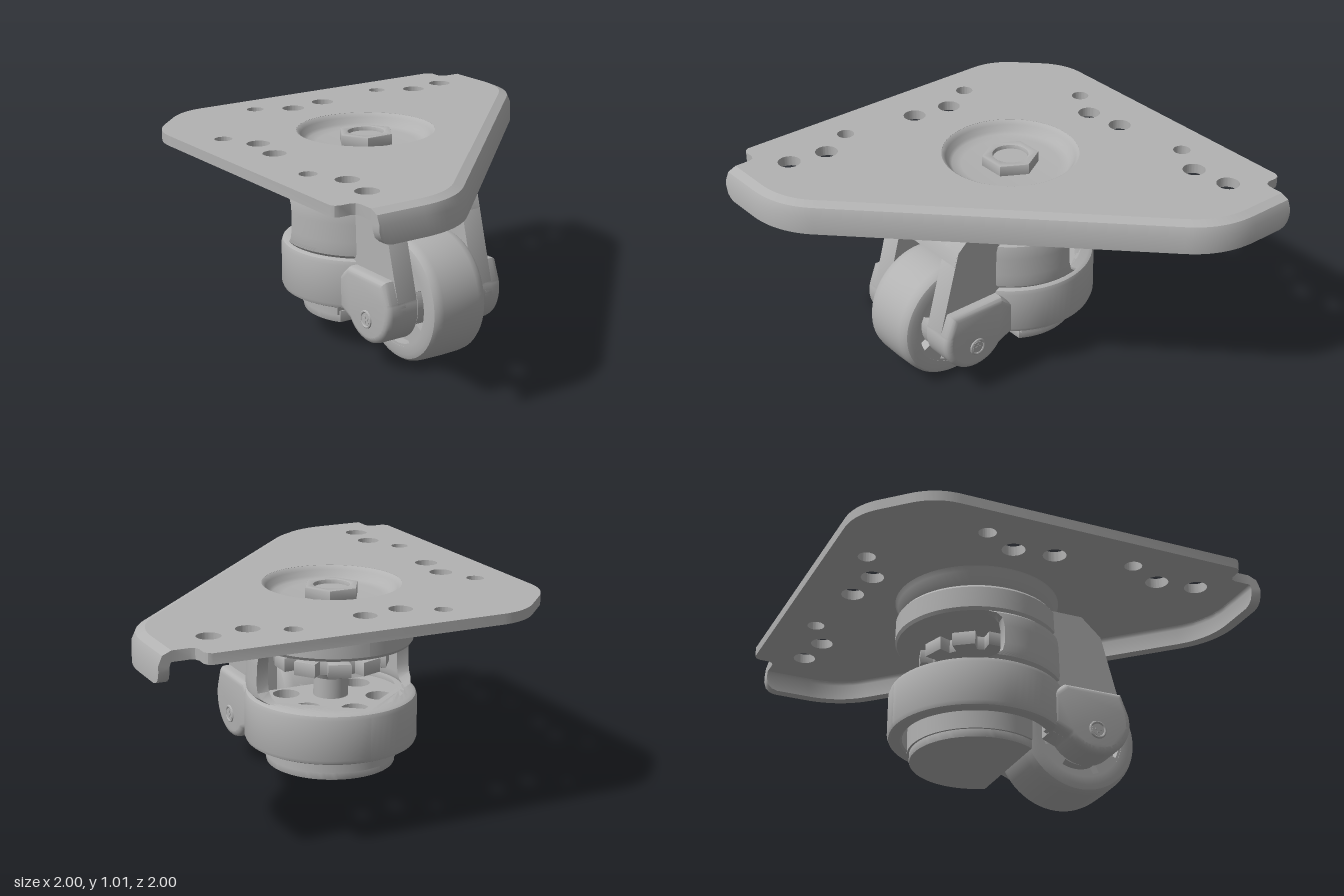
import * as THREE from 'three';
import { toCreasedNormals } from 'three/addons/utils/BufferGeometryUtils.js';

const steel = new THREE.MeshStandardMaterial({ color: 0xb2b2b2, side: THREE.DoubleSide });
steel.name = 'grey steel';
const V2 = (x, y) => new THREE.Vector2(x, y);

function add(parent, name, geo, x = 0, y = 0, z = 0) {
  const mesh = new THREE.Mesh(toCreasedNormals(geo, 0.6), steel);
  mesh.name = name;
  mesh.position.set(x, y, z);
  parent.add(mesh);
  return mesh;
}

// Skin over loops of points; point j faces point n-1-j across each end cap
function loft(loops) {
  const n = loops[0].length, index = [];
  const quad = (a, b, c, d) => index.push(a, b, c, a, c, d);
  for (let i = 0; i < loops.length - 1; i++) {
    for (let j = 0; j < n; j++) {
      const k = (j + 1) % n, p = i * n, q = p + n;
      quad(p + j, p + k, q + k, q + j);
    }
  }
  const e = (loops.length - 1) * n;
  for (let j = 0; j < n / 2 - 1; j++) {
    quad(j, n - 1 - j, n - 2 - j, j + 1);
    quad(e + j + 1, e + n - 2 - j, e + n - 1 - j, e + j);
  }
  const geo = new THREE.BufferGeometry();
  geo.setAttribute('position', new THREE.Float32BufferAttribute(loops.flat(2), 3));
  geo.setIndex(index);
  geo.computeVertexNormals();
  return geo.toNonIndexed();
}

// Horizontal slab: shape (x, z), top at y = 0
const slab = (shape, depth, bevel = 0) => new THREE.ExtrudeGeometry(shape, {
  depth: depth - 2 * bevel, bevelEnabled: bevel > 0, bevelSize: bevel, bevelOffset: -bevel,
  bevelThickness: bevel, bevelSegments: 2, curveSegments: 32,
}).translate(0, 0, bevel).rotateX(Math.PI / 2);

// Upright slab: shape (z, y), spanning x0 to x1
const sideSlab = (shape, x0, x1, bevel = 0) => new THREE.ExtrudeGeometry(shape, {
  depth: x1 - x0 - 2 * bevel, bevelEnabled: bevel > 0, bevelSize: bevel, bevelOffset: -bevel,
  bevelThickness: bevel, bevelSegments: 3, curveSegments: 24,
}).translate(0, 0, bevel).rotateY(-Math.PI / 2).translate(x1, 0, 0);

const circle = (x, y, r) => new THREE.Path().absarc(x, y, r, 0, Math.PI * 2, true);
const lathe = (pts) => new THREE.LatheGeometry(pts.map((p) => V2(...p)), 64);

// Path of the folded front edge (x, z), mirrored about the diagonal
function edgePath() {
  const half = [0, 0.01, 0.03, 0.06, 0.15].map((s) => V2(1, -0.89 + s));
  half.push(...new THREE.QuadraticBezierCurve(V2(1, -0.66), V2(1, -0.47), V2(0.87, -0.34)).getPoints(12));
  return [...half, ...half.map((p) => V2(p.y, p.x)).reverse()];
}

function buildPlate(group, cx, cz) {
  const path = edgePath(), last = path.length - 1;
  const inset = (i, d) => {
    const t = path[Math.min(i + 1, last)].clone().sub(path[Math.max(i - 1, 0)]).normalize();
    return V2(path[i].x - t.y * d, path[i].y + t.x * d);
  };
  // Folded lip with a rounded shoulder and rounded lower ends
  const section = [[0, 0], [0, 0.95], [0.018, 0.992], [0.06, 1.01], [0.06, 0.96], [0.055, 0.955], [0.05, 0.94], [0.05, 0]];
  add(group, 'plateLip', loft(path.map((p, i) => {
    const s = Math.min(0.06, p.distanceTo(path[0]), p.distanceTo(path[last]));
    const low = 0.92 - Math.sqrt(0.0036 - (0.06 - s) ** 2);
    return section.map(([d, y]) => {
      const q = inset(i, d);
      return [q.x, y || low, q.y];
    });
  })));

  // Flat sheet with notched corners and holes
  const sheet = new THREE.Shape(path.map((p, i) => inset(i, 0.06)));
  for (const [x, z] of [[-0.89, 0.86], [-0.9, 0.839], [-0.92, 0.83], [-0.97, 0.83], [-0.99, 0.82], [-1, 0.8], [-1, -0.6]]) sheet.lineTo(x, z);
  sheet.quadraticCurveTo(-1, -0.72, -0.91, -0.81);
  sheet.lineTo(-0.81, -0.91);
  sheet.quadraticCurveTo(-0.72, -1, -0.6, -1);
  for (const [x, z] of [[0.8, -1], [0.82, -0.99], [0.83, -0.97], [0.83, -0.92], [0.839, -0.9], [0.86, -0.89]]) sheet.lineTo(x, z);
  for (const [u, v, r] of [[-0.395, -0.82, 0.042], [-0.225, -0.73, 0.055], [-0.03, -0.76, 0.055],
    [0.35, -0.82, 0.042], [0.525, -0.73, 0.055], [0.72, -0.76, 0.055]]) {
    sheet.holes.push(circle(u, v, r), circle(v, u, r));
  }
  sheet.holes.push(circle(cx, cz, 0.335));
  add(group, 'plateSheet', slab(sheet, 0.05), 0, 1.01, 0);
}

// Rounded housing, open at the front for the wheel and slotted at the back
function buildHousing(caster) {
  const P = Math.PI, A = 0.48;
  const levels = [ // height, outer radius, inner radius, start angle, end angle
    [0.23, 0.4, 0.36, A, P], [0.237, 0.414, 0.35, A, P], [0.255, 0.421, 0.35, A, P], [0.45, 0.419, 0.35, A, P],
    [0.47, 0.412, 0.35, A, P], [0.48, 0.395, 0.355, A, P], [0.48, 0.395, 0.355, A, 1.86], [0.495, 0.41, 0.35, A, 1.75],
    [0.52, 0.413, 0.35, A, 1.68], [0.56, 0.412, 0.35, A, 1.656], [0.65, 0.41, 0.35, A, 1.656],
    [0.69, 0.408, 0.35, A, 1.68], [0.715, 0.403, 0.35, A, 1.75], [0.73, 0.385, 0.35, A, 1.86],
    [0.73, 0.385, 0.05, 0, P], [0.745, 0.395, 0.05, 0, P], [0.85, 0.392, 0.05, 0, P], [0.865, 0.38, 0.05, 0, P],
  ];
  for (const side of [1, -1]) {
    add(caster, side > 0 ? 'leftHousing' : 'rightHousing', loft(levels.map(([y, ro, ri, a, b]) => {
      const [from, to] = side > 0 ? [a, b] : [-b, -a];
      const arc = (r) => Array.from({ length: 33 }, (_, i) => {
        const t = from + (to - from) * i / 32;
        return [r * Math.sin(t), y, r * Math.cos(t)];
      });
      return [...arc(ro), ...arc(ri).reverse()];
    })));
  }
}

function buildFork(caster, z) {
  const axle = (shape) => shape.lineTo(0.483, 0.36).absarc(0.31, 0.31, 0.18, 0.28, -2.5, true);
  const web = new THREE.Shape([V2(0.1, 0.23), V2(0.1, 0.86), V2(0.27, 0.86), V2(0.37, 0.77)]);
  const boss = new THREE.Shape([V2(0.08, 0.24), V2(0.08, 0.4), V2(0.15, 0.46), V2(0.445, 0.46)]);
  axle(web);
  axle(boss);
  const crown = new THREE.Shape([V2(0, 0.7), V2(0, 0.86), V2(0.27, 0.86), V2(0.37, 0.77), V2(0.39, 0.7)]);
  // Crown underside is arched over the wheel
  const arch = new THREE.Shape([V2(-0.265, 0.66), V2(-0.265, 0.86), V2(0.265, 0.86), V2(0.265, 0.66)]);
  arch.quadraticCurveTo(0, 0.8, -0.265, 0.66);
  add(caster, 'forkCrown', sideSlab(crown, -0.265, 0.265), 0, 0, z);
  for (const s of [1, -1]) {
    const span = (a, b) => (s > 0 ? [a, b] : [-b, -a]);
    add(caster, 'forkArm', sideSlab(web, ...span(0.165, 0.27)), 0, 0, z);
    add(caster, 'forkBoss', sideSlab(boss, ...span(0.2, 0.33), 0.03), 0, 0, z);
    const screw = new THREE.Group();
    screw.name = 'axleScrew';
    screw.position.set(s * 0.33, 0.247, z + 0.31);
    add(screw, 'screwRim', new THREE.TorusGeometry(0.038, 0.007, 8, 24).rotateY(Math.PI / 2));
    add(screw, 'screwHead', new THREE.CylinderGeometry(0.03, 0.03, 0.008, 24).rotateZ(Math.PI / 2));
    for (const [h, d] of [[0.035, 0.01], [0.01, 0.035]]) add(screw, 'screwCross', new THREE.BoxGeometry(0.014, h, d));
    caster.add(screw);
  }
}

function buildWheel(caster, z) {
  const wheel = new THREE.Group();
  wheel.name = 'wheel';
  wheel.position.set(0, 0.305, z + 0.305);
  const tread = [[0.225, -0.152], [0.265, -0.152], [0.287, -0.144], [0.299, -0.127], [0.303, -0.1], [0.305, 0]];
  const mirrored = tread.slice(0, -1).reverse().map(([r, y]) => [r, -y]);
  add(wheel, 'tyre', lathe([...tread, ...mirrored, tread[0]]).rotateZ(Math.PI / 2));
  add(wheel, 'core', new THREE.CylinderGeometry(0.23, 0.23, 0.2, 48).rotateZ(Math.PI / 2));
  add(wheel, 'hub', new THREE.CylinderGeometry(0.09, 0.09, 0.33, 32).rotateZ(Math.PI / 2));
  // Side discs with four curved recesses
  const disc = new THREE.Shape().absarc(0, 0, 0.226, 0, Math.PI * 2, false);
  for (let i = 0; i < 4; i++) {
    const a = i * Math.PI / 2;
    disc.holes.push(new THREE.Path().absarc(0, 0, 0.213, a - 0.48, a + 0.48, false).absarc(0, 0, 0.168, a + 0.48, a - 0.48, true));
  }
  for (const x of [-0.15, 0.09]) add(wheel, 'wheelDisc', sideSlab(disc, x, x + 0.06));
  caster.add(wheel);
}

function buildFoot(caster) {
  // Round outline cut flat beside the wheel
  const cutDisc = (r, c) => {
    const s = Math.asin(c / r);
    return new THREE.Shape().absarc(0, 0, r, Math.PI - s, 2 * Math.PI + s, false);
  };
  add(caster, 'footPad', slab(cutDisc(0.315, 0.165), 0.06, 0.006), 0, 0.18, 0);
  add(caster, 'footBody', slab(cutDisc(0.325, 0.16), 0.12), 0, 0.28, 0);
  const guide = cutDisc(0.352, 0.17);
  for (let i = 0; i < 6; i++) guide.holes.push(circle(0.225 * Math.cos(i * Math.PI / 3 + 0.5), 0.225 * Math.sin(i * Math.PI / 3 + 0.5) - 0.02, 0.065));
  add(caster, 'footGuide', slab(guide, 0.05), 0, 0.45, 0);
  add(caster, 'stem', new THREE.CylinderGeometry(0.085, 0.085, 0.77, 32), 0, 0.595, 0);
  // Toothed thumbwheel
  const teeth = [];
  for (let i = 0; i < 10; i++) {
    for (const [t, r] of [[-0.2, 0.28], [0.2, 0.28], [0.24, 0.22], [0.39, 0.22]]) {
      const a = i * Math.PI / 5 + t;
      teeth.push(V2(r * Math.cos(a), r * Math.sin(a)));
    }
  }
  add(caster, 'thumbwheel', slab(new THREE.Shape(teeth), 0.07, 0.006), 0, 0.68, 0);
  add(caster, 'thumbwheelHub', new THREE.CylinderGeometry(0.13, 0.09, 0.07, 32), 0, 0.585, 0);
  add(caster, 'upperCollar', new THREE.CylinderGeometry(0.23, 0.12, 0.035, 32), 0, 0.716, 0);
}

function buildMount(caster) {
  // Pressed dish sunk into the plate
  add(caster, 'dish', lathe([[0, 0.86], [0.33, 0.86], [0.36, 0.88], [0.385, 0.94], [0.4, 0.962], [0.335, 0.97],
    [0.337, 1.01], [0.328, 1.006], [0.315, 0.99], [0.3, 0.965], [0.285, 0.953], [0.24, 0.948], [0, 0.945]]));
  const hex = new THREE.Shape(Array.from({ length: 6 }, (_, i) => V2(0.14 * Math.cos(i * Math.PI / 3), 0.14 * Math.sin(i * Math.PI / 3))));
  hex.holes.push(circle(0, 0, 0.086));
  add(caster, 'nut', slab(hex, 0.06, 0.006), 0, 1.0, 0);
}

export function createModel() {
  const model = new THREE.Group();
  model.name = 'levelingCaster';
  const c = -0.165;
  buildPlate(model, c, c);
  const caster = new THREE.Group();
  caster.name = 'caster';
  caster.position.set(c, 0, c);
  model.add(caster);
  buildHousing(caster);
  buildFork(caster, -c);
  buildWheel(caster, -c);
  buildFoot(caster);
  buildMount(caster);
  return model;
}
